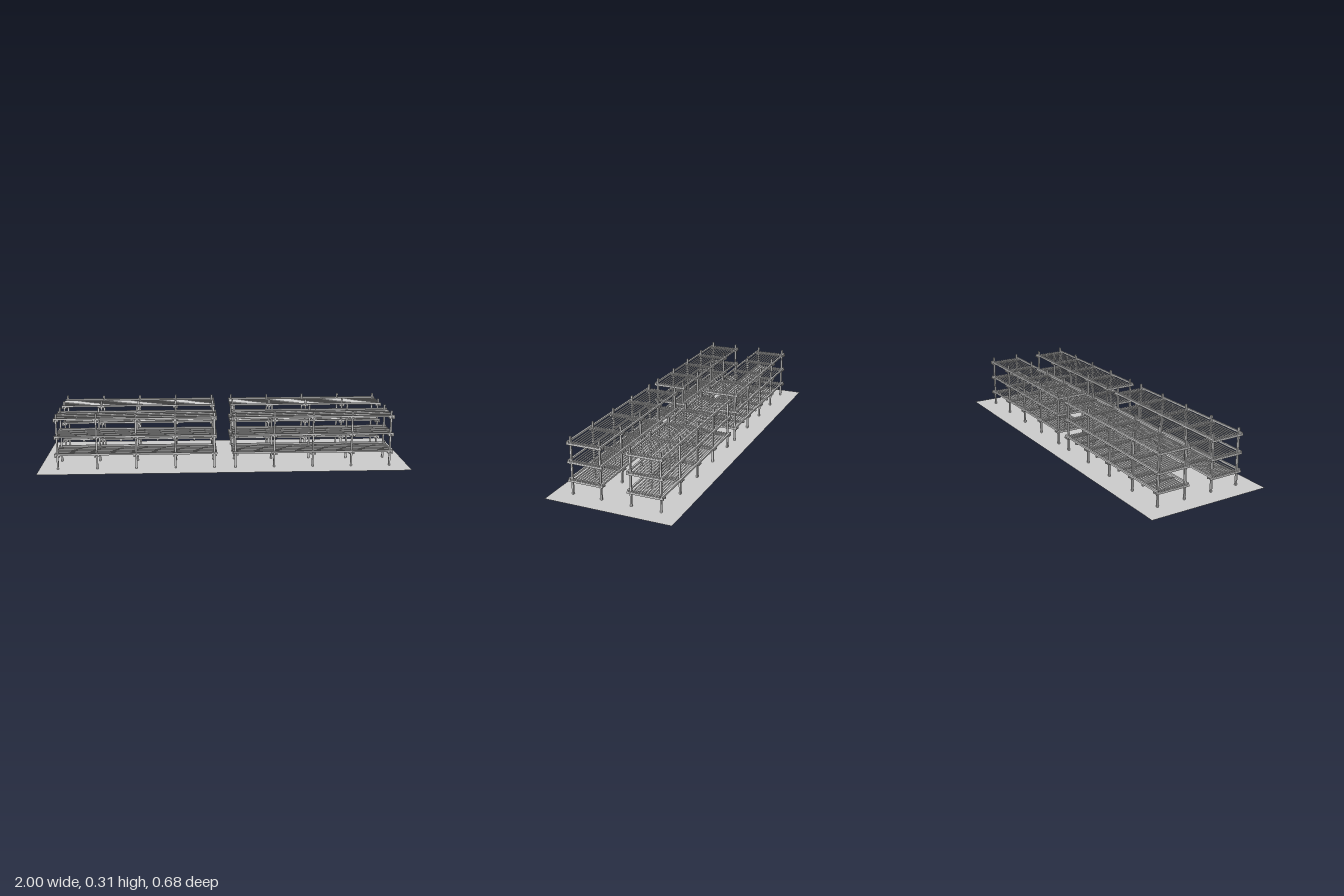
import * as THREE from 'three';

const grey = new THREE.MeshStandardMaterial({ color: 0xcccccc, flatShading: true });
const groundMaterial = new THREE.MeshStandardMaterial({ color: 0xcccccc, side: THREE.DoubleSide });

const BAR = 0.0095;            // thickness of all square timber
const BAY = 0.2105;            // distance between post frames
const LENGTH = 4 * BAY + 0.029;
const LEVELS = [0.0745, 0.1718, 0.269]; // heights of the cross bars
const POST_Z = 0.079;          // posts either side of the rack's middle

function box(parent, name, size, position) {
  const mesh = new THREE.Mesh(new THREE.BoxGeometry(...size), grey);
  mesh.name = name;
  mesh.position.set(...position);
  parent.add(mesh);
}

// Flattened rods the length of the rack
const rodGeometry = new THREE.CylinderGeometry(0.0045, 0.0045, LENGTH, 8)
  .rotateZ(Math.PI / 2)
  .scale(1, 0.55, 1);

function createShelf(y) {
  const shelf = new THREE.Group();
  shelf.name = 'shelf';

  // Pairs of cross bars clasping each post frame
  for (let i = -2; i <= 2; i++) {
    for (const side of [-1, 1]) {
      box(shelf, 'crossBar', [BAR, BAR, 0.192], [i * BAY + side * BAR, y, 0]);
    }
  }
  // Long rails outside the posts, resting on the cross bars
  for (const side of [-1, 1]) {
    box(shelf, 'rail', [LENGTH, BAR, BAR], [0, y + BAR, side * (POST_Z + BAR)]);
  }
  // Ten slats between the posts
  for (let i = 0; i < 10; i++) {
    const slat = new THREE.Mesh(rodGeometry, grey);
    slat.name = 'slat';
    slat.position.set(0, y + BAR / 2 + 0.0022, (i - 4.5) * 0.015);
    shelf.add(slat);
  }
  return shelf;
}

function createRack(extraBars) {
  const rack = new THREE.Group();
  rack.name = 'rack';

  for (let i = -2; i <= 2; i++) {
    for (const side of [-1, 1]) {
      box(rack, 'post', [BAR, 0.305, BAR], [i * BAY, 0.1525, side * POST_Z]);
    }
  }
  for (const y of LEVELS) rack.add(createShelf(y));

  // Extra supports in the middle of each bay under the lowest shelf
  if (extraBars) {
    for (let i = -1.5; i <= 1.5; i++) {
      box(rack, 'middleBar', [BAR, BAR, 0.192], [i * BAY, LEVELS[0], 0]);
    }
  }
  return rack;
}

export function createModel() {
  const model = new THREE.Group();
  model.name = 'storageRacks';

  const ground = new THREE.Mesh(new THREE.PlaneGeometry(2, 0.68).rotateX(-Math.PI / 2), groundMaterial);
  ground.name = 'groundSheet';
  model.add(ground);

  // Two rows of two racks
  for (const x of [-1, 1]) {
    for (const z of [-1, 1]) {
      const rack = createRack(x < 0 && z < 0);
      rack.position.set(x * 0.478, 0, z * 0.16);
      model.add(rack);
    }
  }
  return model;
}
